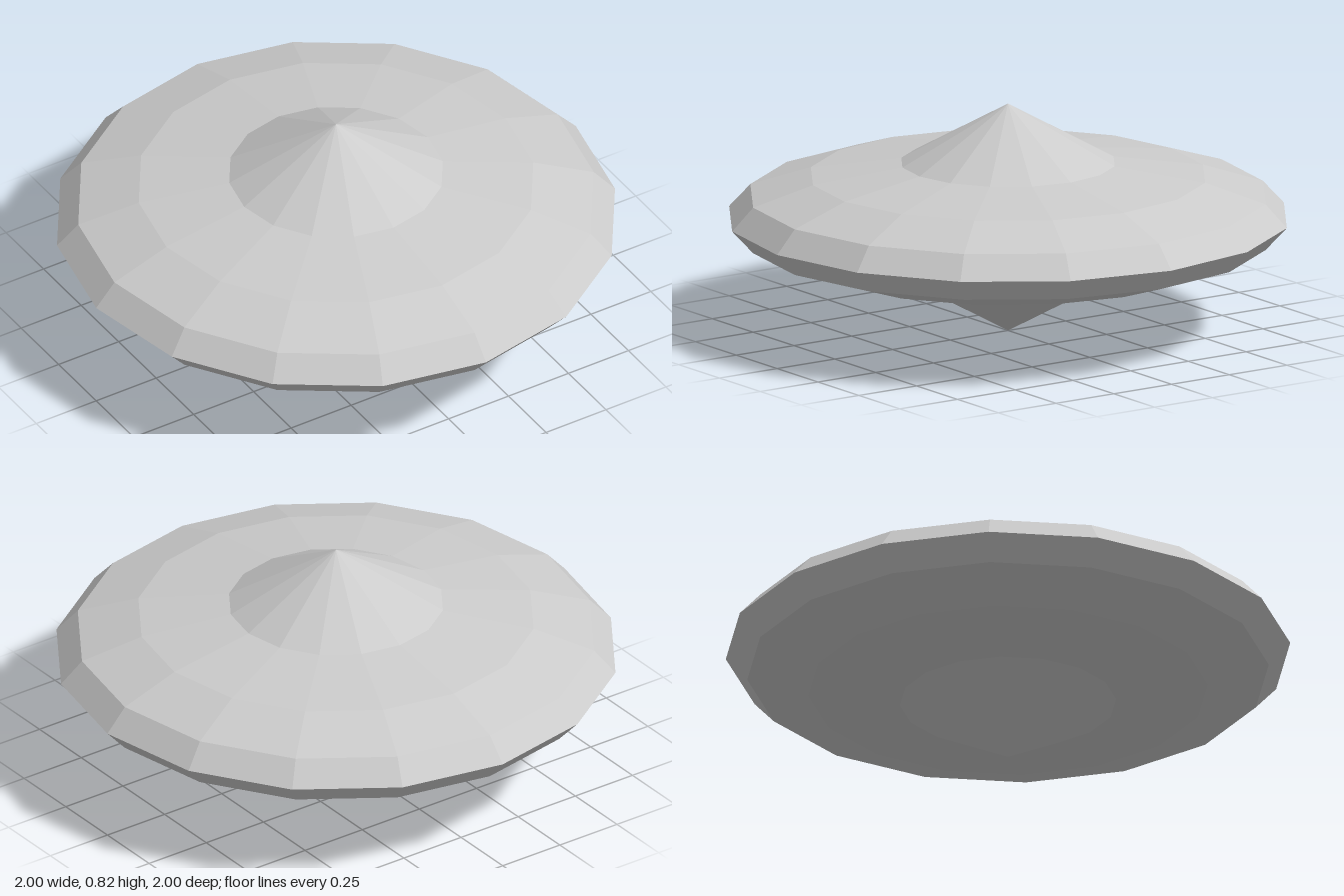
import * as THREE from 'three';

const SIDES = 16;
const MID = 0.4125;      // height of the rim
const FLATTEN = 0.2165;  // vertical squash of the disc
const STEP = Math.PI / 8;

export function createModel() {
  const model = new THREE.Group();
  const material = new THREE.MeshStandardMaterial({ color: 0xcccccc, flatShading: true });

  const add = (name, geometry, y) => {
    const mesh = new THREE.Mesh(geometry, material);
    mesh.name = name;
    mesh.position.y = y;
    model.add(mesh);
  };

  // Disc: a squashed sphere profile, from the lower cone's base to the upper one's
  const profile = [];
  for (let i = -3; i <= 3; i++) {
    profile.push(new THREE.Vector2(Math.cos(i * STEP), FLATTEN * Math.sin(i * STEP)));
  }
  add('disc', new THREE.LatheGeometry(profile, SIDES), MID);

  // Pointed cones above and below the disc
  const radius = Math.cos(3 * STEP);
  const base = FLATTEN * Math.sin(3 * STEP);
  const height = MID - base;
  const cone = new THREE.ConeGeometry(radius, height, SIDES, 1, true);
  add('upperCone', cone, MID + base + height / 2);
  add('lowerCone', cone.clone().rotateX(Math.PI), height / 2);

  return model;
}
